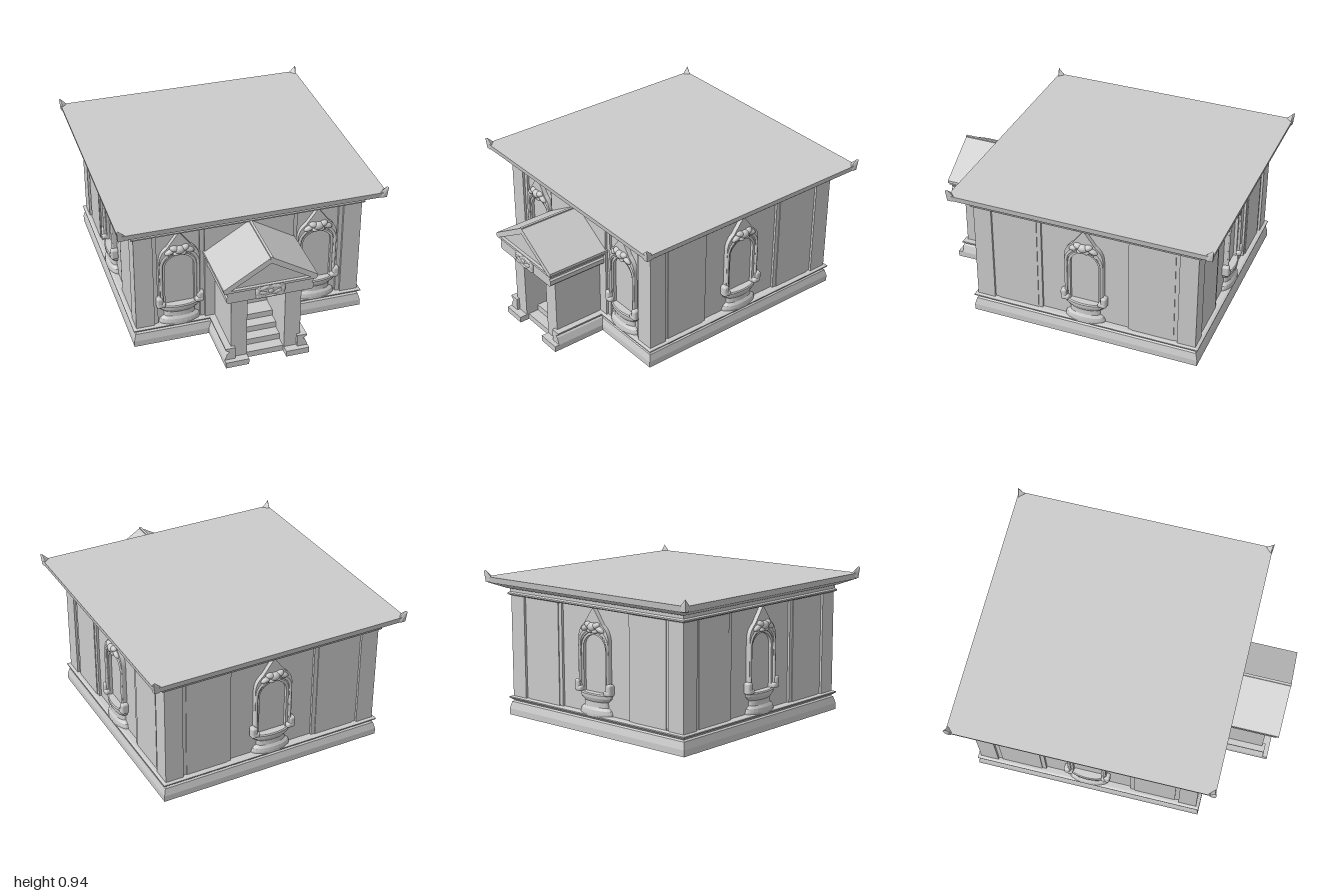
import * as THREE from 'three';
import { RoundedBoxGeometry } from 'three/addons/geometries/RoundedBoxGeometry.js';
import { ConvexGeometry } from 'three/addons/geometries/ConvexGeometry.js';

const flat = new THREE.MeshStandardMaterial({ color: 0xcccccc, flatShading: true });
const smooth = new THREE.MeshStandardMaterial({ color: 0xcccccc });

function add(parent, name, geometry, material = flat) {
  const m = new THREE.Mesh(geometry, material);
  m.name = name;
  parent.add(m);
  return m;
}

// box from its lower and upper limits
function block(parent, name, x0, x1, y0, y1, z0, z1) {
  const m = add(parent, name, new THREE.BoxGeometry(x1 - x0, y1 - y0, z1 - z0));
  m.position.set((x0 + x1) / 2, (y0 + y1) / 2, (z0 + z1) / 2);
  return m;
}

// square ring of mouldings from a [half width, y] profile
function squareLathe(parent, name, profile) {
  const pts = profile.map(([r, y]) => new THREE.Vector2(r * Math.SQRT2, y));
  return add(parent, name, new THREE.LatheGeometry(pts, 4, Math.PI / 4));
}

function prism(parent, name, points, z0, z1) {
  const shape = new THREE.Shape(points.map(([x, y]) => new THREE.Vector2(x, y)));
  const g = new THREE.ExtrudeGeometry(shape, { depth: z1 - z0, bevelEnabled: false });
  return add(parent, name, g.translate(0, 0, z0));
}

function blob(parent, name, x, y, z, rx, ry, rz, tilt = 0) {
  const m = add(parent, name, new THREE.SphereGeometry(1, 14, 10), smooth);
  m.position.set(x, y, z);
  m.scale.set(rx, ry, rz);
  m.rotation.z = tilt;
  return m;
}

// round-headed outline, with an optional pointed crown
function archPath(Type, w, y0, spring, rise, tip) {
  const p = new Type();
  p.moveTo(-w, y0);
  p.lineTo(w, y0);
  p.lineTo(w, spring);
  if (tip) {
    p.quadraticCurveTo(w, spring + rise * 0.65, w * 0.6, spring + rise);
    p.lineTo(0, tip);
    p.lineTo(-w * 0.6, spring + rise);
    p.quadraticCurveTo(-w, spring + rise * 0.65, -w, spring);
  } else {
    p.absellipse(0, spring, w, rise, 0, Math.PI, false);
  }
  p.lineTo(-w, y0);
  return p;
}

function archFrame(parent, name, outer, inner, depth) {
  const shape = archPath(THREE.Shape, ...outer);
  shape.holes.push(archPath(THREE.Path, ...inner));
  add(parent, name, new THREE.ExtrudeGeometry(shape, { depth, bevelEnabled: false, curveSegments: 10 }));
}

// niche standing on z = 0 and projecting along +z
function makeNiche() {
  const n = new THREE.Group();
  n.name = 'niche';
  archFrame(n, 'pointedFrame', [0.127, 0.25, 0.58, 0.1, 0.785], [0.108, 0.255, 0.53, 0.1], 0.028);
  archFrame(n, 'innerArch', [0.11, 0.25, 0.53, 0.105], [0.093, 0.255, 0.53, 0.085], 0.02);

  // rounded rim along the frame
  const rim = [];
  for (let i = 0; i <= 12; i++) {
    const a = Math.PI * i / 12;
    rim.push(new THREE.Vector3(0.117 * Math.cos(a), 0.55 + 0.1 * Math.sin(a), 0.026));
  }
  rim.unshift(new THREE.Vector3(0.117, 0.27, 0.026), new THREE.Vector3(0.117, 0.41, 0.026));
  rim.push(new THREE.Vector3(-0.117, 0.41, 0.026), new THREE.Vector3(-0.117, 0.27, 0.026));
  add(n, 'archRim', new THREE.TubeGeometry(new THREE.CatmullRomCurve3(rim), 40, 0.01, 6), smooth);

  // flower on the crown
  blob(n, 'flowerHeart', 0, 0.665, 0.036, 0.036, 0.027, 0.024);
  for (const s of [-1, 1]) {
    blob(n, 'flowerPetal', s * 0.032, 0.675, 0.032, 0.03, 0.02, 0.022, s * 0.3);
    blob(n, 'flowerLeaf', s * 0.06, 0.655, 0.03, 0.036, 0.018, 0.02, -s * 0.4);
    blob(n, 'flowerBud', s * 0.02, 0.64, 0.034, 0.022, 0.015, 0.018);

    // scrolled bracket beside the shelf
    const arm = add(n, 'bracket', new RoundedBoxGeometry(0.04, 0.075, 0.05, 2, 0.014), smooth);
    arm.position.set(s * 0.132, 0.29, 0.022);
    const foot = add(n, 'bracketFoot', new RoundedBoxGeometry(0.055, 0.035, 0.05, 2, 0.014), smooth);
    foot.position.set(s * 0.122, 0.27, 0.024);
  }

  // half-round pedestal
  const profile = [[0.132, 0.12], [0.132, 0.135], [0.125, 0.155], [0.106, 0.168], [0.1, 0.172],
    [0.097, 0.205], [0.108, 0.212], [0.128, 0.23], [0.132, 0.25], [0.118, 0.257], [0, 0.257]];
  const pts = profile.map(([r, y]) => new THREE.Vector2(r, y));
  const ped = add(n, 'pedestal', new THREE.LatheGeometry(pts, 12, -Math.PI / 2, Math.PI));
  ped.scale.z = 0.4;
  return n;
}

function makePorch() {
  const p = new THREE.Group();
  p.name = 'porch';
  for (const s of [-1, 1]) {
    const side = (name, x0, x1, ...rest) => block(p, name, Math.min(s * x0, s * x1), Math.max(s * x0, s * x1), ...rest);
    side('porchWall', 0.12, 0.222, 0, 0.51, 0.55, 0.915);
    side('porchFoot', 0.12, 0.268, 0, 0.04, 0.55, 0.965);
    const base = [[0.2, 0.03], [0.268, 0.04], [0.25, 0.085], [0.236, 0.095], [0.262, 0.112], [0.262, 0.122], [0.2, 0.122]];
    prism(p, 'porchPlinth', base.map(([x, y]) => [s * x, y]), 0.55, 0.935);

    // sloping roof slab with its raking edge
    const slab = [[0, 0.79], [0.293, 0.61], [0.293, 0.592], [0.275, 0.582], [0, 0.748]];
    prism(p, 'porchRoof', slab.map(([x, y]) => [s * x, y]), 0.55, 0.995);
  }
  // entablature, stepped outward to the eaves
  const half = [[0.262, 0.5], [0.272, 0.512], [0.272, 0.54], [0.262, 0.55], [0.278, 0.575], [0.282, 0.592]];
  const outline = [...half, ...half.map(([x, y]) => [-x, y]).reverse()];
  prism(p, 'entablature', outline, 0.55, 0.98);
  prism(p, 'pediment', [[-0.26, 0.585], [0.26, 0.585], [0, 0.76]], 0.55, 0.97);
  block(p, 'porchCornice', -0.285, 0.285, 0.578, 0.594, 0.55, 0.99);
  block(p, 'ridge', -0.008, 0.008, 0.775, 0.793, 0.55, 0.997);

  for (let i = 0; i < 4; i++) {
    block(p, 'step', -0.12, 0.12, 0, 0.04 * (i + 1), 0.55, 0.9 - 0.07 * i);
  }

  // carved mask over the entrance
  const mask = add(p, 'maskBase', new RoundedBoxGeometry(0.18, 0.092, 0.03, 3, 0.014), smooth);
  mask.position.set(0, 0.546, 0.978);
  blob(p, 'maskNose', 0, 0.55, 0.987, 0.02, 0.016, 0.013);
  blob(p, 'maskMouth', 0, 0.516, 0.987, 0.045, 0.011, 0.012);
  for (const s of [-1, 1]) {
    blob(p, 'maskBrow', s * 0.04, 0.575, 0.986, 0.042, 0.015, 0.013, -s * 0.2);
    blob(p, 'maskCheek', s * 0.045, 0.542, 0.986, 0.03, 0.015, 0.013, s * 0.3);
    blob(p, 'maskEar', s * 0.078, 0.55, 0.982, 0.016, 0.035, 0.014);
  }
  return p;
}

export function createModel() {
  const model = new THREE.Group();
  model.name = 'pavilion';
  const hall = new THREE.Group();
  hall.name = 'hall';
  hall.position.z = -0.15;
  model.add(hall);

  squareLathe(hall, 'plinth', [[0, 0], [0.75, 0], [0.75, 0.04], [0.738, 0.085], [0.726, 0.093],
    [0.75, 0.112], [0.75, 0.119], [0.735, 0.124], [0, 0.124]]);
  squareLathe(hall, 'wallCore', [[0.7, 0.11], [0.7, 0.79]]);
  squareLathe(hall, 'roof', [[0, 0.78], [0.735, 0.78], [0.746, 0.787], [0.746, 0.795], [0.735, 0.803],
    [0.735, 0.822], [0.75, 0.826], [0.832, 0.862], [0.836, 0.866], [0.842, 0.9], [0, 0.9]]);

  for (let k = 0; k < 4; k++) {
    const side = new THREE.Group();
    side.name = 'facade';
    side.rotation.y = k * Math.PI / 2;
    hall.add(side);
    const wall = (name, x0, x1, depth) => block(side, name, x0, x1, 0.115, 0.785, 0.65, depth);

    wall('cornerPier', 0.612, 0.73, 0.73).scale.z = 1;
    wall('cornerPier', -0.73, -0.612, 0.73);
    for (const s of [-1, 1]) {
      for (const c of [0.2995, 0.5985]) wall('pilasterStrip', s * c - 0.0135, s * c + 0.0135, 0.715);
      if (k > 0) wall('sidePanel', s * 0.449 - 0.136, s * 0.449 + 0.136, 0.72);
    }
    if (k === 0) wall('entranceWall', -0.286, 0.286, 0.73);

    // two niches flank the entrance, one stands on each other side
    for (const x of k === 0 ? [-0.445, 0.445] : [0]) {
      const niche = makeNiche();
      niche.position.set(x, 0, 0.7);
      side.add(niche);
    }

    // upturned horn at the roof corner
    const horn = [[0.8, 0.9, 0.835], [0.835, 0.9, 0.8], [0.842, 0.866, 0.81], [0.81, 0.866, 0.842],
      [0.842, 0.866, 0.842], [0.849, 0.938, 0.849], [0.84, 0.94, 0.84], [0.835, 0.915, 0.815], [0.815, 0.915, 0.835]];
    add(side, 'roofHorn', new ConvexGeometry(horn.map((v) => new THREE.Vector3(...v))));
  }

  model.add(makePorch());
  return model;
}
